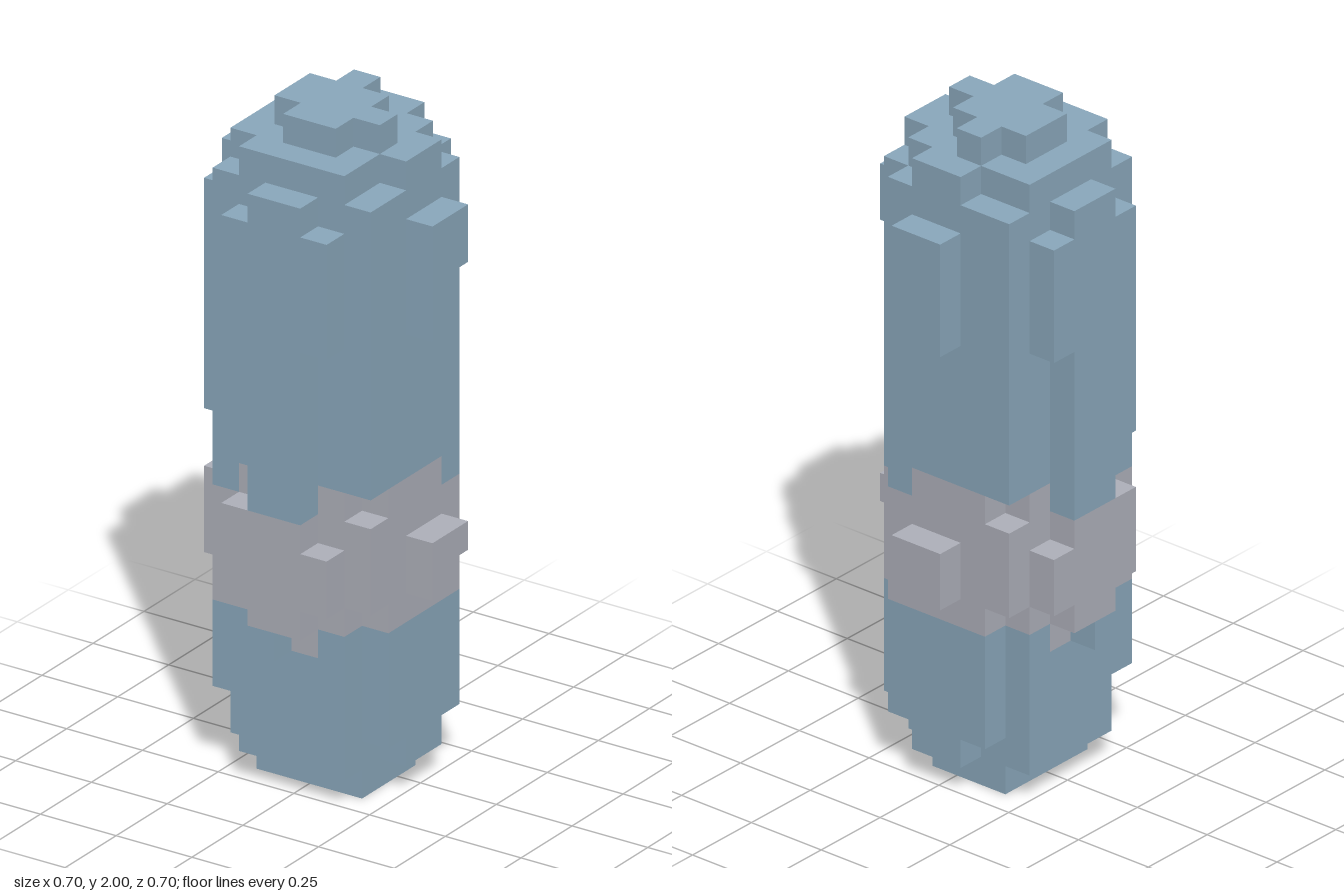
import * as THREE from 'three';
import { mergeGeometries } from 'three/addons/utils/BufferGeometryUtils.js';

const U = 2 / 23; // edge of one cube; the model is 23 cubes tall

export function createModel() {
  const blue = new THREE.MeshStandardMaterial({ color: 0x8ba9bd });
  blue.name = 'dusty blue';
  const grey = new THREE.MeshStandardMaterial({ color: 0xafb1bb });
  grey.name = 'pinkish grey';

  const cells = new Map();
  const key = (x, y, z) => x + ',' + y + ',' + z;

  // Fill or clear a block of cubes; ranges are [from, to) in cube units.
  // Everything is mirrored across the diagonal that swaps front and right side.
  function block(part, x0, x1, y0, y1, z0, z1) {
    for (let x = x0; x < x1; x++) for (let y = y0; y < y1; y++) for (let z = z0; z < z1; z++)
      for (const [a, b] of [[x, z], [-z - 1, -x - 1]]) {
        if (part) cells.set(key(a, y, b), part);
        else cells.delete(key(a, y, b));
      }
  }

  // Foot, with one corner cut away
  block('foot', -2, 2, 0, 1, -2, 2);
  block(null, 1, 2, 0, 1, -2, -1);

  // Trunk: core, then side slabs that start at different heights
  block('trunk', -2, 2, 1, 22, -2, 2);
  block('trunk', -2, 2, 1, 22, 2, 3);
  block('trunk', 2, 3, 1, 22, -1, 1);
  block('trunk', 2, 3, 2, 21, -2, -1);
  block('trunk', 2, 3, 2, 21, 1, 2);
  // Corner columns
  block('trunk', -3, -2, 3, 21, 2, 3);
  block('trunk', 2, 3, 7, 10, 2, 3);
  block('trunk', 2, 3, 11, 21, 2, 3);

  // Cap
  block('cap', -1, 0, 22, 23, -2, -1);
  block('cap', -2, 1, 22, 23, -1, 0);
  block('cap', -2, 2, 22, 23, 0, 1);
  block('cap', -1, 1, 22, 23, 1, 2);

  // Wide raised bark plate: rows of [x from, x to, y from, y to]
  const wide = [[-1, 1, 20, 21], [-2, 2, 16, 20], [-2, 1, 12, 16], [-1, 1, 10, 12],
    [-2, 1, 9, 10], [-2, 2, 7, 9], [-1, 1, 6, 7], [-1, 0, 5, 6]];
  for (const [x0, x1, y0, y1] of wide) block('widePlate', x0, x1, y0, y1, 3, 4);

  // Small hooked plates
  const hooks = [[-1, 1, 18, 20], [0, 1, 16, 18], [-1, 1, 8, 9], [0, 1, 7, 8]];
  for (const [z0, z1, y0, y1] of hooks) block('hookPlate', 3, 4, y0, y1, z0, z1);

  // Pale band with a ragged edge
  const band = new Set();
  for (const [x, y, z] of [[-2, 10, 2], [1, 10, 2], [2, 10, -1], [2, 10, 0], [2, 10, 1], [0, 5, 2]]) {
    band.add(key(x, y, z));
    band.add(key(-z - 1, y, -x - 1));
  }
  const inBand = (x, y, z) => (y >= 6 && y < 10) || band.has(key(x, y, z));

  // One outward square for each of the six directions
  const H = Math.PI / 2;
  const sides = [[1, 0, 0, 0, H], [-1, 0, 0, 0, -H], [0, 1, 0, -H, 0],
    [0, -1, 0, H, 0], [0, 0, 1, 0, 0], [0, 0, -1, 0, 2 * H]].map(([dx, dy, dz, rx, ry]) => ({
    dx, dy, dz,
    geo: new THREE.PlaneGeometry(U, U).rotateX(rx).rotateY(ry)
      .translate(dx * U / 2, dy * U / 2, dz * U / 2),
  }));

  // Collect the exposed faces by part and colour
  const faces = {};
  for (const [k, part] of cells) {
    const [x, y, z] = k.split(',').map(Number);
    const name = part + (inBand(x, y, z) ? 'Band' : '');
    for (const s of sides) {
      if (cells.has(key(x + s.dx, y + s.dy, z + s.dz))) continue;
      (faces[name] ??= []).push(
        s.geo.clone().translate((x + 0.5) * U, (y + 0.5) * U, (z + 0.5) * U));
    }
  }

  const group = new THREE.Group();
  group.name = 'blockyTrunk';
  for (const [name, list] of Object.entries(faces)) {
    const mesh = new THREE.Mesh(mergeGeometries(list), name.endsWith('Band') ? grey : blue);
    mesh.name = name;
    group.add(mesh);
  }
  return group;
}
